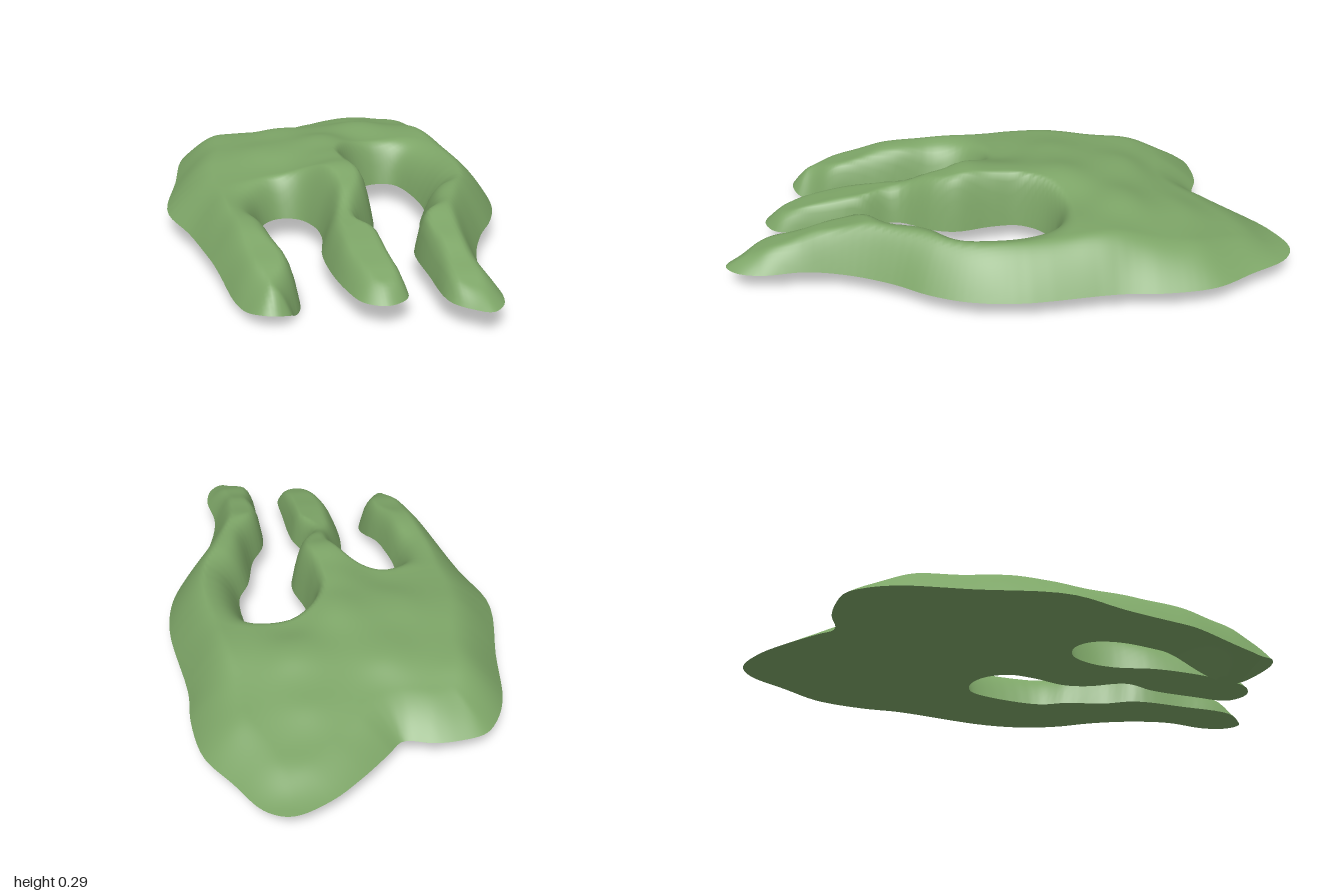
import * as THREE from 'three';

// Plan outline of the three-fingered hand, as x, z pairs
const OUTLINE = [
  .33, -1, .41, -.96, .49, -.82, .565, -.68, .585, -.5, .575, -.35, .6, 0, .575, .17, .52, .3, .44, .42,
  .37, .57, .335, .72, .345, .87, .32, .96, .27, 1, .22, .97, .165, .9, .16, .7, .17, .5, .23, .39,
  .27, .25, .32, .15, .31, -.07, .28, -.14, .22, -.16, .14, -.13, .085, -.05, .085, .05, .11, .18, .09, .27,
  .02, .4, .05, .52, .055, .7, .05, .83, .01, .87, -.04, .88, -.1, .84, -.13, .74, -.145, .6, -.14, .45,
  -.105, .3, -.11, .2, -.15, .12, -.22, .1, -.28, .14, -.31, .24, -.295, .4, -.265, .55, -.265, .67, -.3, .74,
  -.32, .78, -.37, .8, -.42, .78, -.47, .68, -.5, .5, -.55, .17, -.6, -.06, -.53, -.37, -.48, -.6, -.43, -.7,
  -.37, -.76, -.28, -.775, -.19, -.77, -.09, -.74, -.03, -.79, .08, -.88, .2, -.96,
];

// Ridge heights: x, z, height
const RELIEF = [
  // palm
  [.33, -.96, .09], [.3, -.8, .145], [.1, -.78, .145], [-.3, -.7, .155],
  [-.1, -.65, .165], [.45, -.6, .185], [.2, -.6, .205], [-.3, -.5, .21],
  [-.1, -.45, .24], [.2, -.4, .26], [.42, -.3, .245], [.5, -.1, .235],
  [-.42, -.25, .22], [-.2, -.2, .25], [.02, -.2, .28], [.2, -.22, .235],
  [-.47, 0, .205], [-.2, 0, .225], [0, 0, .28],
  // finger on -x
  [-.42, .2, .21], [-.38, .42, .205], [-.37, .6, .165], [-.37, .75, .12],
  // middle finger with its knuckle
  [-.02, .15, .3], [-.02, .25, .265], [-.04, .4, .205], [-.03, .57, .19], [-.03, .72, .165], [-.03, .85, .125],
  // finger on +x
  [.44, .1, .24], [.36, .3, .245], [.25, .48, .245], [.24, .65, .21], [.25, .82, .16], [.27, .95, .11],
];

// Width of the rounded edge along the outline: x, z, width
const ROUNDING = [
  [-.6, 0, .24], [-.55, -.35, .21], [-.52, .35, .15], [-.46, .7, .1], [-.37, .8, .08],
  [-.28, .35, .05], [-.265, .6, .05], [-.22, .1, .07],
  [-.12, .25, .1], [-.14, .5, .08], [-.12, .78, .07], [-.04, .88, .08],
  [.05, .75, .035], [.04, .5, .035], [.03, .4, .05], [.11, .18, .06], [.085, 0, .05], [.2, -.16, .06],
  [.32, .1, .12], [.25, .35, .07], [.165, .55, .035], [.165, .85, .035], [.27, 1, .08],
  [.345, .85, .09], [.4, .5, .15], [.52, .3, .18], [.6, 0, .2], [.58, -.4, .2],
  [.55, -.7, .19], [.35, -1, .12], [.1, -.9, .15], [-.1, -.74, .15], [-.3, -.77, .17], [-.45, -.68, .17],
];

// Smooth surface through scattered x, z, value samples: a weighted plane fit at each point
function blend(samples, x, z, softness) {
  const weights = samples.map(([px, pz]) => 1 / ((x - px) ** 2 + (z - pz) ** 2 + softness) ** 2);
  const total = weights.reduce((a, b) => a + b);
  const mean = (k) => samples.reduce((sum, s, i) => sum + weights[i] * s[k], 0) / total;
  const mx = mean(0), mz = mean(1), mv = mean(2);
  let xx = 0.002, zz = 0.002, xz = 0, xv = 0, zv = 0;
  samples.forEach(([px, pz, v], i) => {
    const w = weights[i] / total, dx = px - mx, dz = pz - mz;
    xx += w * dx * dx;
    zz += w * dz * dz;
    xz += w * dx * dz;
    xv += w * dx * (v - mv);
    zv += w * dz * (v - mv);
  });
  const det = xx * zz - xz * xz;
  return mv + ((xv * zz - zv * xz) * (x - mx) + (zv * xx - xv * xz) * (z - mz)) / det;
}

// Base height: flat, except for the drooping tip of the -x finger, lowest on its inner side
function rimHeight({ x, z }) {
  if (x > -0.2) return 0.08;
  const along = THREE.MathUtils.smoothstep(z, 0.4, 0.7) - 0.5 * THREE.MathUtils.smoothstep(z, 0.7, 0.82);
  const across = THREE.MathUtils.clamp((x + 0.47) / 0.17, 0, 1);
  return 0.08 - along * THREE.MathUtils.lerp(0.045, 0.08, across);
}

// Nearest outline point and signed distance (positive inside)
function nearest(x, z, edge) {
  let best = Infinity, bx = 0, bz = 0, inside = false;
  for (let i = 0; i < edge.length; i++) {
    const a = edge[i], b = edge[(i + 1) % edge.length];
    const dx = b.x - a.x, dz = b.y - a.y;
    const t = THREE.MathUtils.clamp(((x - a.x) * dx + (z - a.y) * dz) / (dx * dx + dz * dz), 0, 1);
    const qx = a.x + t * dx, qz = a.y + t * dz;
    const d = Math.hypot(x - qx, z - qz);
    if (d < best) { best = d; bx = qx; bz = qz; }
    if ((a.y > z) !== (b.y > z) && x < a.x + (z - a.y) / dz * dx) inside = !inside;
  }
  return { x: bx, z: bz, d: inside ? best : -best };
}

function makeSurface(points, triangles, heightAt, flip) {
  const positions = [];
  for (const p of points) positions.push(p.x, heightAt(p), p.z);
  const index = [];
  for (const [a, b, c] of triangles) index.push(a, flip ? c : b, flip ? b : c);
  const geometry = new THREE.BufferGeometry();
  geometry.setAttribute('position', new THREE.Float32BufferAttribute(positions, 3));
  geometry.setIndex(index);
  geometry.computeVertexNormals();
  return geometry;
}

export function createModel() {
  const group = new THREE.Group();
  group.name = 'threeFingeredHand';
  const green = new THREE.MeshStandardMaterial({ color: 0x7da567 });
  green.name = 'mossGreen';

  const corners = [];
  for (let i = 0; i < OUTLINE.length; i += 2) corners.push(new THREE.Vector3(OUTLINE[i], OUTLINE[i + 1], 0));
  const edge = new THREE.CatmullRomCurve3(corners, true).getPoints(320).slice(0, -1);

  // Grid whose rim points are pulled onto the outline
  const step = 0.0125, nx = 100, nz = 164;
  const points = [];
  for (let j = 0; j <= nz; j++) {
    for (let i = 0; i <= nx; i++) {
      const x = (i - nx / 2) * step, z = (j - nz / 2) * step;
      const near = nearest(x, z, edge);
      const inside = near.d > 0;
      points.push(near.d < step * 0.35
        ? { x: near.x, z: near.z, d: 0, inside }
        : { x, z, d: near.d, inside });
    }
  }
  const triangles = [];
  const addTriangle = (a, b, c) => {
    const [p, q, r] = [points[a], points[b], points[c]];
    const area = (q.z - p.z) * (r.x - p.x) - (q.x - p.x) * (r.z - p.z);
    if (area > 1e-6) triangles.push([a, b, c]);
  };
  for (let j = 0; j < nz; j++) {
    for (let i = 0; i < nx; i++) {
      const a = j * (nx + 1) + i, b = a + nx + 1, c = b + 1, d = a + 1;
      if (![a, b, c, d].some((k) => points[k].inside)) continue;
      addTriangle(a, b, c);
      addTriangle(a, c, d);
    }
  }

  // Rounded upper skin
  const topHeight = (p) => {
    const rim = rimHeight(p);
    if (p.d === 0) return rim;
    const height = Math.max(blend(RELIEF, p.x, p.z, 0.008), rim + 0.01);
    const width = Math.max(blend(ROUNDING, p.x, p.z, 0.004), 0.03);
    const t = Math.min(p.d / width, 1);
    return rim + (height - rim) * (1 - (1 - t) ** 2);
  };
  const top = new THREE.Mesh(makeSurface(points, triangles, topHeight, false), green);
  top.name = 'handTop';

  // Underside
  const bottom = new THREE.Mesh(makeSurface(points, triangles, rimHeight, true), green);
  bottom.name = 'handUnderside';

  group.add(top, bottom);
  return group;
}
